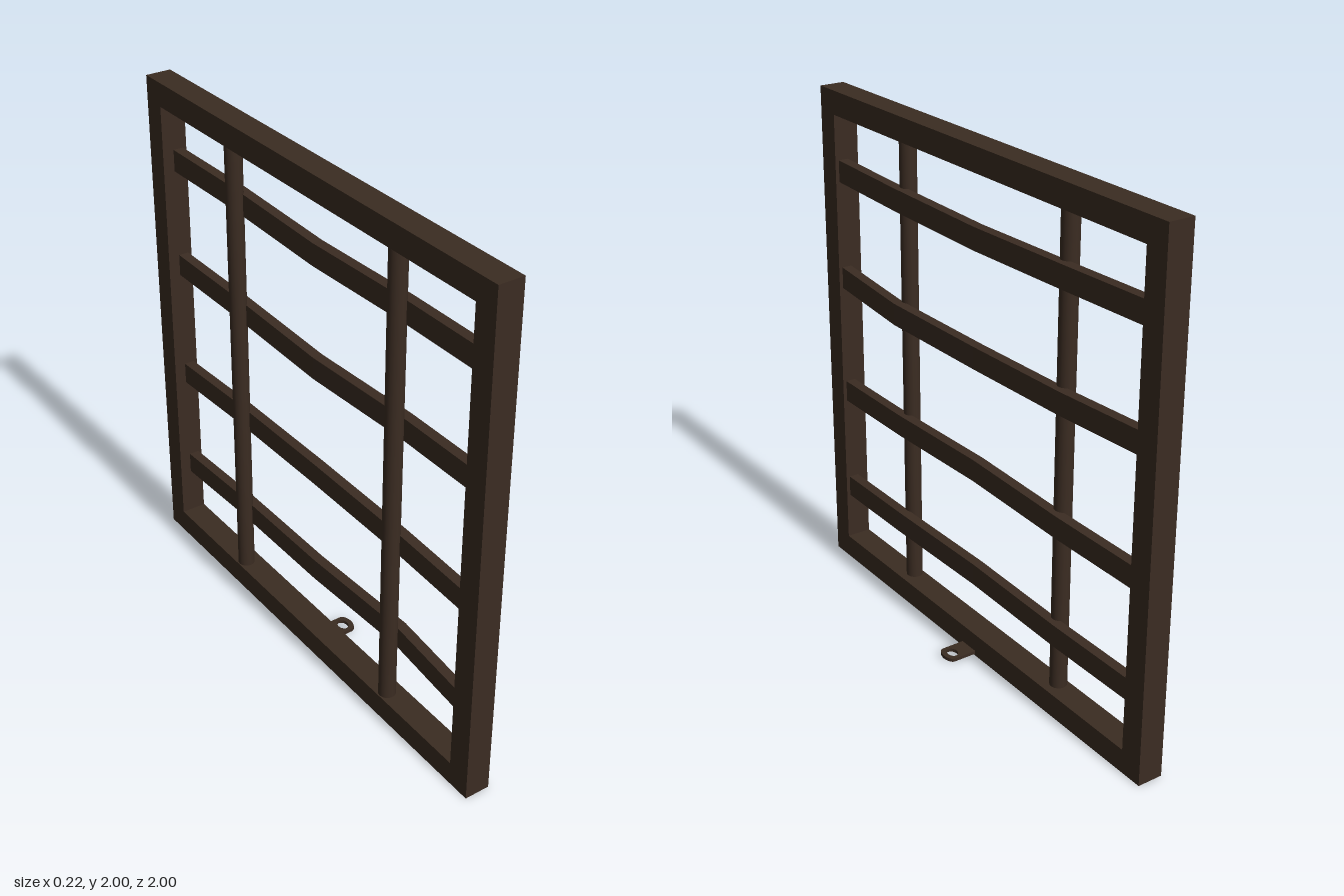
import * as THREE from 'three';

const iron = new THREE.MeshStandardMaterial({ color: 0x3b2c22 });
iron.name = 'dark brown iron';

function add(group, name, geometry) {
  const mesh = new THREE.Mesh(geometry, iron);
  mesh.name = name;
  group.add(mesh);
  return mesh;
}

// Square outer frame, extruded across x
function frameGeometry() {
  const rect = (path, x, y0, y1) => {
    path.moveTo(-x, y0); path.lineTo(x, y0); path.lineTo(x, y1); path.lineTo(-x, y1); path.closePath();
    return path;
  };
  const shape = rect(new THREE.Shape(), 1, 0, 2);
  shape.holes.push(rect(new THREE.Path(), 0.907, 0.093, 1.907));
  const g = new THREE.ExtrudeGeometry(shape, { depth: 0.1, bevelEnabled: false });
  return g.rotateY(-Math.PI / 2).translate(-0.01, 0, 0);
}

// Flat hammered bar: a rectangle swept through stations [z, centre y, front x]
function barGeometry(stations, height = 0.086, thickness = 0.04) {
  const rings = stations.map(([z, y, x]) => [
    [x, y - height / 2, z], [x, y + height / 2, z],
    [x - thickness, y + height / 2, z], [x - thickness, y - height / 2, z],
  ]);
  const pos = [];
  const quad = (a, b, c, d) => pos.push(...a, ...b, ...c, ...a, ...c, ...d);
  for (let s = 0; s < rings.length - 1; s++) {
    for (let k = 0; k < 4; k++) {
      const n = (k + 1) % 4;
      quad(rings[s][k], rings[s][n], rings[s + 1][n], rings[s + 1][k]);
    }
  }
  const first = rings[0], last = rings[rings.length - 1];
  quad(first[3], first[2], first[1], first[0]);
  quad(...last);
  const g = new THREE.BufferGeometry();
  g.setAttribute('position', new THREE.Float32BufferAttribute(pos, 3));
  g.computeVertexNormals();
  return g;
}

// Small latch plate with a rounded end and an oval hole
function latchGeometry() {
  const shape = new THREE.Shape();
  shape.moveTo(-0.03, -0.03);
  shape.lineTo(0.082, -0.03);
  shape.absellipse(0.082, 0.012, 0.024, 0.042, -Math.PI / 2, Math.PI / 2, false);
  shape.lineTo(-0.03, 0.054);
  shape.closePath();
  const hole = new THREE.Path();
  hole.absellipse(0.067, 0.012, 0.02, 0.027, 0, Math.PI * 2, true);
  shape.holes.push(hole);
  const g = new THREE.ExtrudeGeometry(shape, { depth: 0.013, bevelEnabled: false, curveSegments: 16 });
  return g.rotateX(Math.PI / 2).translate(0, 0.02, 0);
}

export function createModel() {
  const model = new THREE.Group();
  model.name = 'iron window grille';

  add(model, 'outerFrame', frameGeometry());

  // Round upright rods behind the bars
  for (const z of [0.49, -0.467]) {
    const rod = add(model, 'uprightRod', new THREE.CylinderGeometry(0.033, 0.033, 1.84, 16));
    rod.position.set(-0.073, 1, z);
  }

  // Bent cross bars: heights from z = -0.91 to z = 0.91, and bulge at the left rod
  const zs = [-0.912, -0.5, 0, 0.5, 0.912];
  const bars = [
    { ys: [1.685, 1.68, 1.668, 1.678, 1.685], bulge: -0.016 },
    { ys: [1.25, 1.237, 1.225, 1.233, 1.252], bulge: -0.005 },
    { ys: [0.763, 0.77, 0.779, 0.77, 0.763], bulge: -0.016 },
    { ys: [0.328, 0.335, 0.342, 0.349, 0.328], bulge: -0.005 },
  ];
  for (const { ys, bulge } of bars) {
    const xs = [-0.025, -0.016, -0.02, bulge, -0.025];
    add(model, 'crossBar', barGeometry(zs.map((z, i) => [z, ys[i], xs[i]])));
  }

  add(model, 'latchPlate', latchGeometry());
  return model;
}
